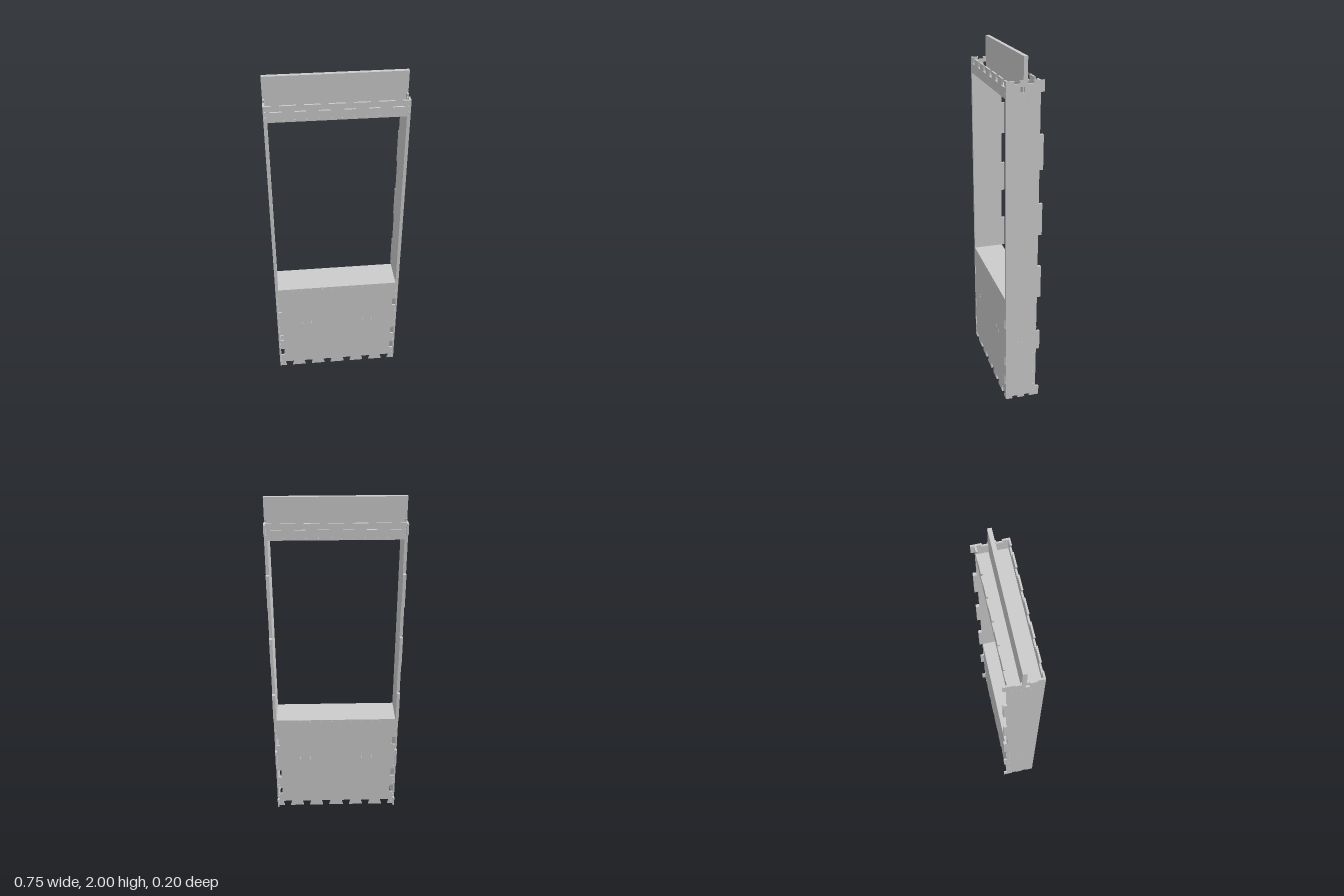
import * as THREE from 'three';

const W = 0.375, T = 0.01, TOP = 1.88;      // half width, sheet thickness, box height
const WIN = { x: 0.357, y0: 0.66, y1: 1.79 };
const SLOT_X = [-0.312, -0.188, -0.064, 0.064, 0.188, 0.312];
const SLOT_Y = [0.125, 0.255, 0.5];
const material = new THREE.MeshStandardMaterial({ color: 0xcccccc });

const toShape = (pts) => new THREE.Shape(pts.map(([a, b]) => new THREE.Vector2(a, b)));

function addRect(shape, x0, y0, x1, y1) {
  shape.holes.push(new THREE.Path([[x0, y0], [x0, y1], [x1, y1], [x1, y0]].map(([a, b]) => new THREE.Vector2(a, b))));
}

function addHole(shape, x, y, r = 0.004) {
  shape.holes.push(new THREE.Path().absarc(x, y, r, 0, Math.PI * 2, true));
}

function sheet(name, shape, depth = T) {
  const geo = new THREE.ExtrudeGeometry(shape, { depth, bevelEnabled: false, curveSegments: 4 });
  const mesh = new THREE.Mesh(geo, material);
  mesh.name = name;
  return mesh;
}

function box(name, w, h, d, x, y, z) {
  const mesh = new THREE.Mesh(new THREE.BoxGeometry(w, h, d), material);
  mesh.name = name;
  mesh.position.set(x, y, z);
  return mesh;
}

// Large panel with window, dovetail slots on top and bottom, finger slots at the sides
function windowPanel(name, w) {
  const pts = [[-w, 0]];
  for (const c of SLOT_X) pts.push([c - 0.02, 0], [c - 0.03, 0.035], [c + 0.03, 0.035], [c + 0.02, 0]);
  pts.push([w, 0]);
  for (const y of SLOT_Y) pts.push([w, y - 0.03], [0.343, y - 0.027], [0.343, y + 0.027], [w, y + 0.03]);
  pts.push([w, TOP]);
  for (const c of [...SLOT_X].reverse()) {
    pts.push([c + 0.02, TOP], [c + 0.03, TOP - 0.035], [c - 0.03, TOP - 0.035], [c - 0.02, TOP]);
  }
  pts.push([-w, TOP]);
  for (const y of [...SLOT_Y].reverse()) pts.push([-w, y + 0.03], [-0.343, y + 0.027], [-0.343, y - 0.027], [-w, y - 0.03]);
  const shape = toShape(pts);
  addRect(shape, -WIN.x, WIN.y0, WIN.x, WIN.y1);
  // Fixing holes
  for (const s of [-1, 1]) {
    for (const y of [0.02, 0.05, 0.08, 0.17, 0.2, 0.31, 0.35, 0.39, 0.43, 0.55, 0.59, 1.82, 1.85]) addHole(shape, s * 0.364, y);
    for (const x of [0.16, 0.22]) for (const y of [0.373, 0.387]) addHole(shape, s * x, y);
    for (const x of [0.025, 0.09, 0.155, 0.215, 0.27]) for (const y of [0.648, 1.802]) addHole(shape, s * x, y, 0.003);
  }
  return sheet(name, shape);
}

// Rear edge stepping in and out along the listed tabs, from top to bottom
function rearEdge(tabs, base) {
  return [...tabs].reverse().flatMap(([a, b]) => [[base, b], [-0.1, b], [-0.1, a], [base, a]]);
}

// Side wall, drawn in (z, y)
function sideWall(name) {
  const pts = [[-0.1, 0]];
  for (const z of [-0.028, 0.044]) pts.push([z - 0.014, 0], [z - 0.018, 0.015], [z + 0.018, 0.015], [z + 0.014, 0]);
  pts.push([0.09, 0]);
  for (const y of SLOT_Y) pts.push([0.09, y - 0.03], [0.1, y - 0.03], [0.1, y + 0.03], [0.09, y + 0.03]);
  pts.push([0.09, TOP]);
  for (const z of [0.044, -0.028]) pts.push([z + 0.014, TOP], [z + 0.018, TOP - 0.015], [z - 0.018, TOP - 0.015], [z - 0.014, TOP]);
  pts.push([-0.1, TOP], [-0.1, 1.82], [-0.079, 1.82]);
  pts.push(...rearEdge([[0.32, 0.44], [0.66, 0.85], [1.04, 1.22], [1.41, 1.6]], -0.079));
  pts.push([-0.079, 0.06], [-0.1, 0.06]);
  const shape = toShape(pts);
  addRect(shape, 0.005, 1.82, 0.027, 1.85);
  for (const y of [0.04, 0.08, 0.17, 0.2, 0.3, 0.35, 0.4, 0.45, 0.55, 0.59]) addHole(shape, -0.064, y);
  for (const z of [0.0, 0.022]) addHole(shape, z, 0.38);
  for (const z of [-0.06, -0.012, 0.035, 0.08]) for (const y of [0.655, 1.795]) addHole(shape, z, y, 0.003);
  return sheet(name, shape);
}

// Window lining, drawn in (z, y)
function sideLining(name) {
  const pts = [[-0.079, 0.65], [0.09, 0.65], [0.09, 1.8], [-0.079, 1.8],
    ...rearEdge([[0.66, 0.85], [1.04, 1.22], [1.41, 1.6]], -0.079)];
  return sheet(name, toShape(pts), 0.008);
}

export function createModel() {
  const model = new THREE.Group();
  model.name = 'windowCabinet';

  const front = windowPanel('frontPanel', W);
  front.position.z = 0.09;
  const back = windowPanel('backPanel', W - 0.001);
  back.position.z = -0.08;
  model.add(front, back);

  // Side walls and linings stand upright along z
  for (const [side, s] of [['left', 1], ['right', -1]]) {
    const wall = sideWall(side + 'Wall');
    wall.rotation.y = -Math.PI / 2;
    wall.position.x = s > 0 ? W : -W + T;
    const lining = sideLining(side + 'WindowLining');
    lining.rotation.y = -Math.PI / 2;
    lining.position.x = s > 0 ? 0.365 : -0.357;
    model.add(wall, lining);
  }

  // Window sill and ceiling
  model.add(box('windowSill', 0.714, T, 0.16, 0, WIN.y0 - T / 2, 0.01));
  model.add(box('windowCeiling', 0.714, T, 0.16, 0, WIN.y1 + T / 2, 0.01));

  // Header board standing in the top of the box
  const header = sheet('headerBoard', toShape([[-0.364, 1.8], [0.364, 1.8], [0.364, TOP],
    [W, TOP], [W, 2], [-W, 2], [-W, TOP], [-0.364, TOP]]), 0.022);
  header.position.z = -0.011;
  model.add(header);

  return model;
}
